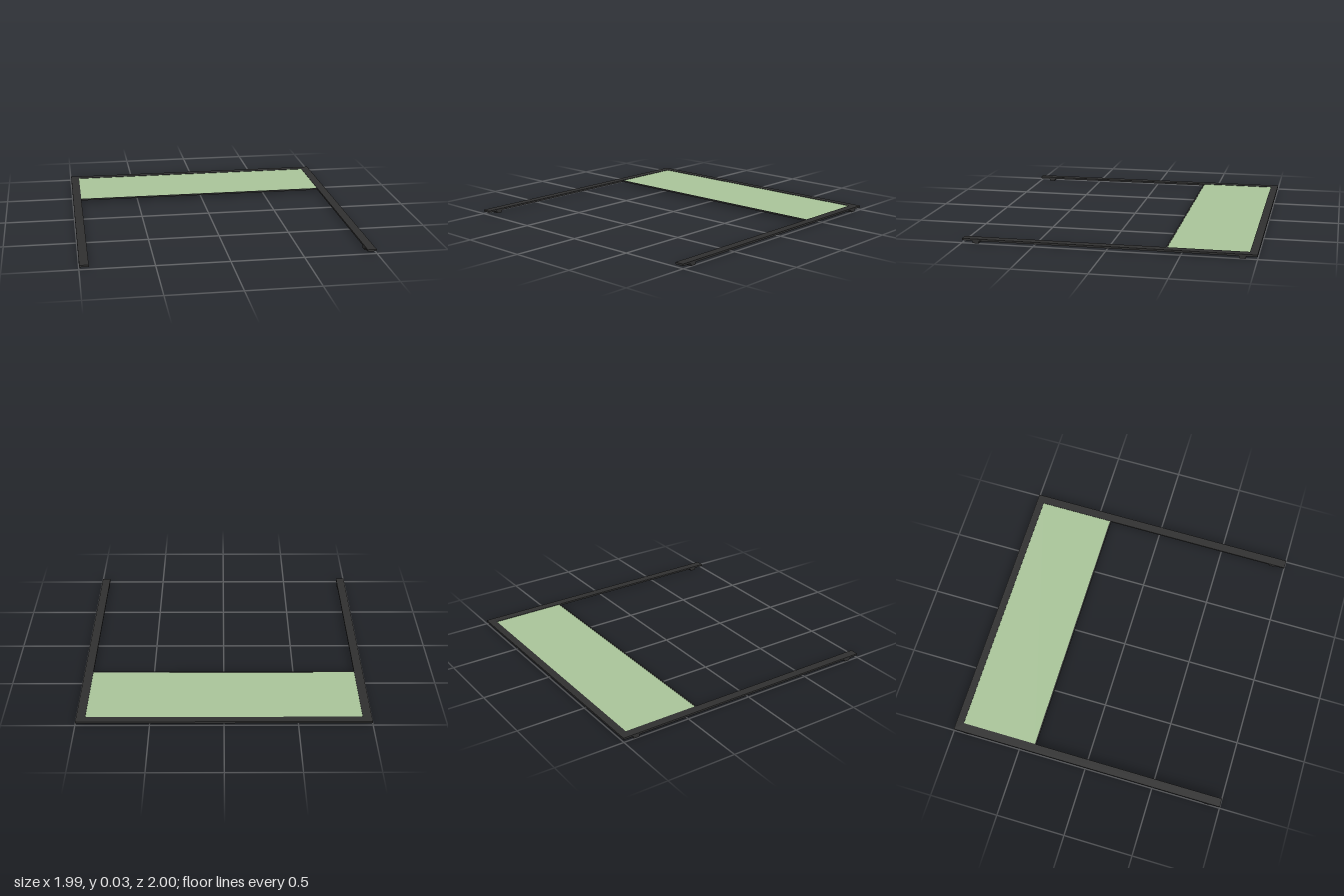
import * as THREE from 'three';

export function createModel() {
  const group = new THREE.Group();
  const dark = new THREE.MeshStandardMaterial({ color: 0x303030 });
  const green = new THREE.MeshStandardMaterial({ color: 0xa9c499 });
  const outer = 0.997, inner = 0.935;

  function add(name, geometry, material, x, y, z) {
    const mesh = new THREE.Mesh(geometry, material);
    mesh.name = name;
    mesh.position.set(x, y, z);
    group.add(mesh);
    return mesh;
  }

  // U-shaped frame: two side rails joined by the back rail (shape y becomes -z)
  const outline = new THREE.Shape([
    [-outer, -1], [-inner, -1], [-inner, 0.945], [inner, 0.945],
    [inner, -1], [outer, -1], [outer, 1], [-outer, 1],
  ].map(([x, y]) => new THREE.Vector2(x, y)));
  const frame = new THREE.ExtrudeGeometry(outline, { depth: 0.013, bevelEnabled: false });
  frame.rotateX(-Math.PI / 2);
  add('frame', frame, dark, 0, 0.017, 0);

  // thin panel filling the back of the frame
  add('panel', new THREE.BoxGeometry(2 * inner, 0.006, 0.545), green, 0, 0.024, -0.6725);

  // slim bar along the panel's front edge
  add('crossBar', new THREE.BoxGeometry(2 * inner, 0.011, 0.01), dark, 0, 0.0235, -0.395);

  // four low feet, slightly narrowed towards the ground
  const foot = new THREE.BoxGeometry(outer - inner, 0.018, 0.048);
  const p = foot.attributes.position;
  for (let i = 0; i < p.count; i++) {
    if (p.getY(i) < 0) p.setZ(i, p.getZ(i) * 0.85);
  }
  foot.computeVertexNormals();
  for (const x of [-1, 1]) {
    for (const z of [-1, 1]) {
      add('foot', foot, dark, x * (outer + inner) / 2, 0.009, z * 0.903);
    }
  }
  return group;
}
